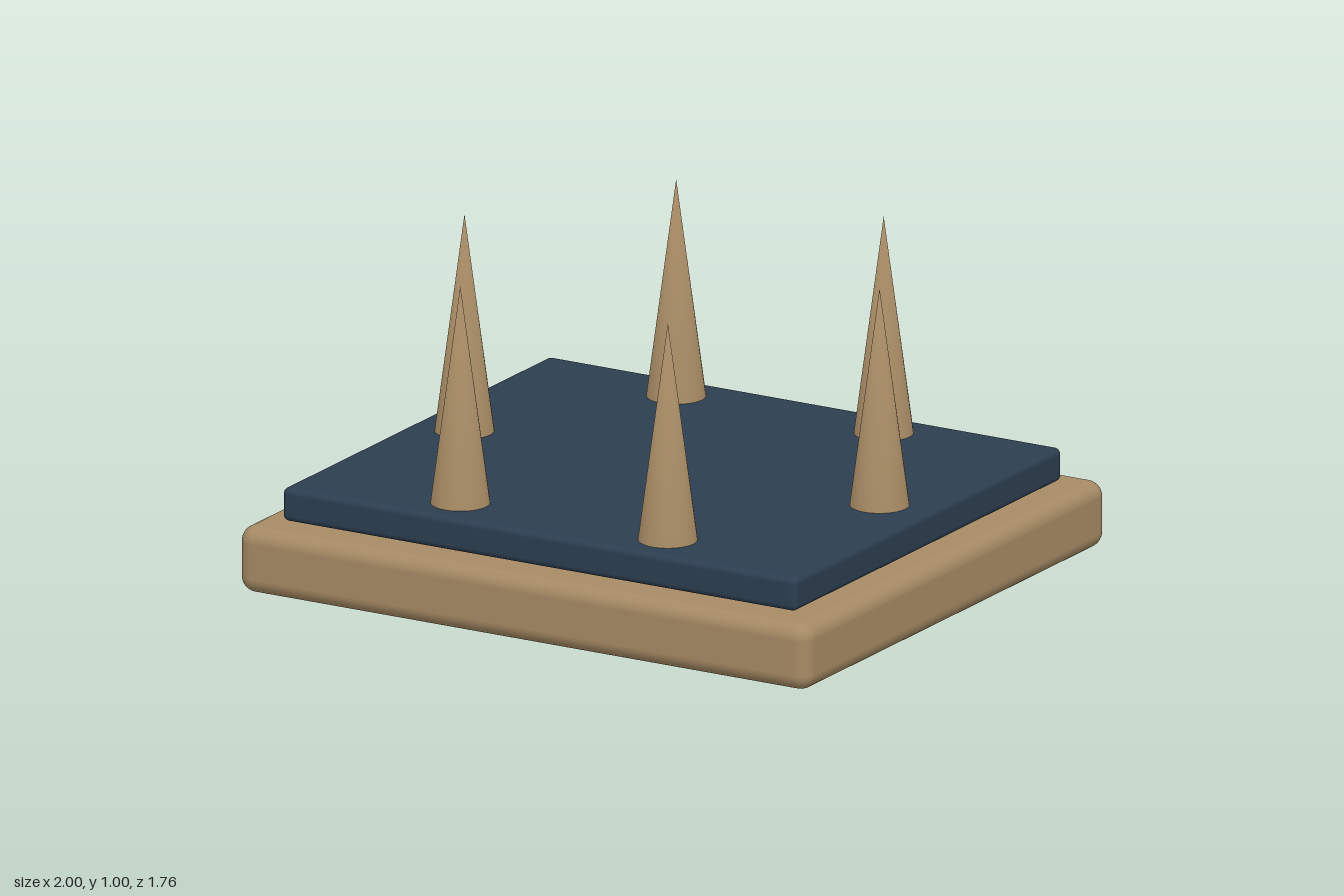
import * as THREE from 'three';
import { RoundedBoxGeometry } from 'three/addons/geometries/RoundedBoxGeometry.js';
import { mergeVertices } from 'three/addons/utils/BufferGeometryUtils.js';

const tan = new THREE.MeshStandardMaterial({ color: 0xa68a64 });
tan.name = 'tan';
const slate = new THREE.MeshStandardMaterial({ color: 0x2c3e50 });
slate.name = 'slate blue';

// Rounded slab resting between two heights
function slab(name, width, depth, bottom, top, radius, material) {
  const geometry = new RoundedBoxGeometry(width, top - bottom, depth, 4, radius);
  const mesh = new THREE.Mesh(geometry, material);
  mesh.name = name;
  mesh.position.y = (bottom + top) / 2;
  return mesh;
}

// Cone with one shared tip vertex, so its shading rounds over at the point
function spikeGeometry(radius, height) {
  const cone = new THREE.ConeGeometry(radius, height, 32, 1, true);
  cone.deleteAttribute('uv');
  cone.deleteAttribute('normal');
  const merged = mergeVertices(cone);
  merged.computeVertexNormals();
  return merged;
}

export function createModel() {
  const model = new THREE.Group();
  model.name = 'spikedBoard';

  // Thick base and the thinner board floating just above it
  model.add(slab('base', 2, 1.76, 0, 0.21, 0.05, tan));
  model.add(slab('board', 1.8, 1.56, 0.215, 0.32, 0.02, slate));

  // Six spikes in a hexagon, rising from the base through the board
  const bottom = 0.2, top = 1, ring = 0.727;
  const geometry = spikeGeometry(0.106, top - bottom);
  for (let i = 0; i < 6; i++) {
    const angle = (i * Math.PI) / 3;
    const spike = new THREE.Mesh(geometry, tan);
    spike.name = `spike${i + 1}`;
    spike.position.set(ring * Math.cos(angle), (bottom + top) / 2, ring * Math.sin(angle));
    model.add(spike);
  }
  return model;
}
